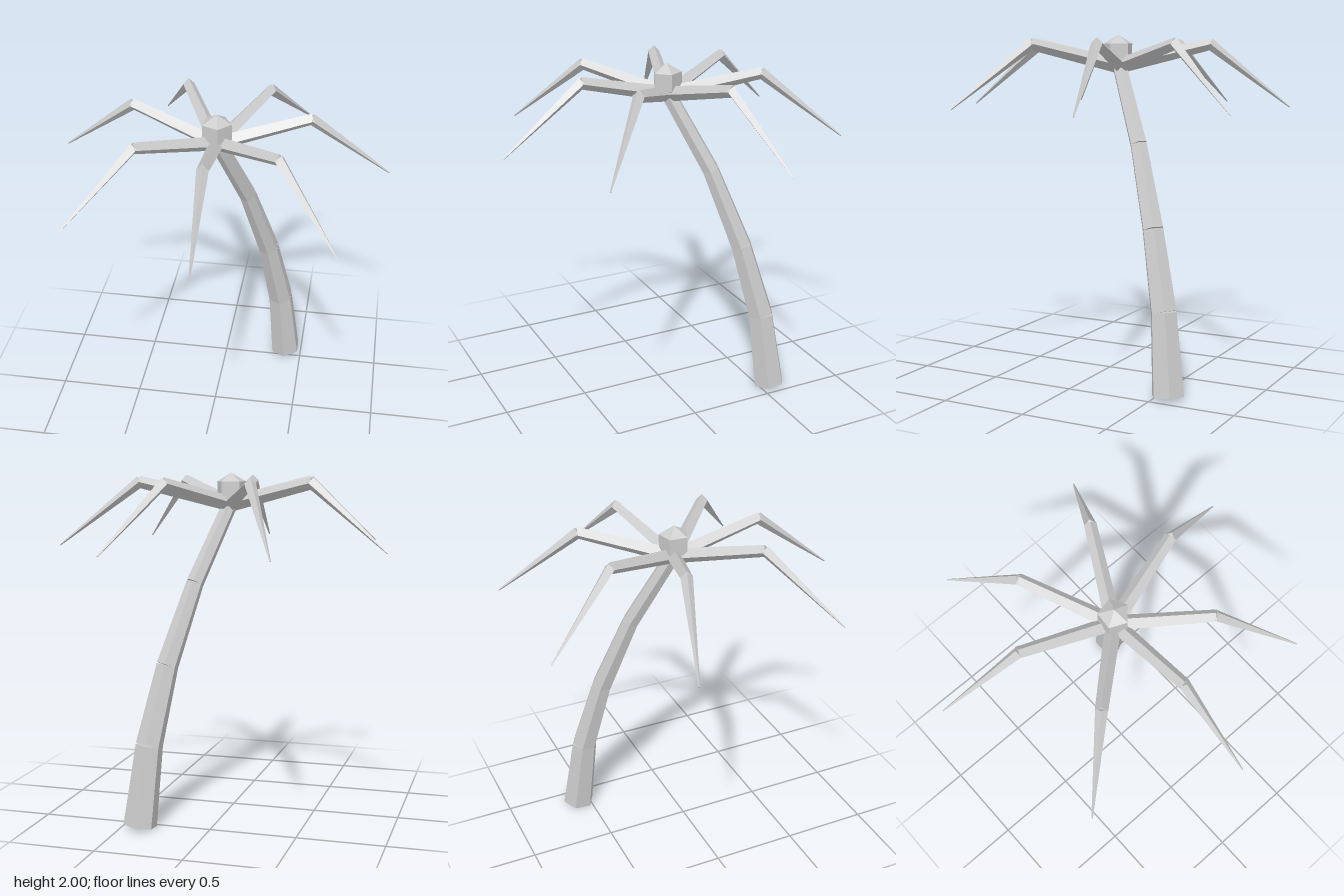
import * as THREE from 'three';

const material = new THREE.MeshStandardMaterial({ color: 0xcccccc, flatShading: true });

// Tapered prism running from point a to point b
function taper(name, a, b, ra, rb, sides) {
  const dir = b.clone().sub(a);
  const mesh = new THREE.Mesh(new THREE.CylinderGeometry(rb, ra, dir.length(), sides), material);
  mesh.position.copy(a).add(b).multiplyScalar(0.5);
  mesh.quaternion.setFromUnitVectors(new THREE.Vector3(0, 1, 0), dir.normalize());
  mesh.name = name;
  return mesh;
}

export function createModel() {
  const palm = new THREE.Group();
  palm.name = 'palmTree';
  const v = (x, y, z) => new THREE.Vector3(x, y, z);

  // Leaning trunk of four hexagonal sections: centre and radius at each joint
  const joints = [
    [v(0.395, 0.013, -0.57), 0.097],
    [v(0.352, 0.475, -0.52), 0.079],
    [v(0.275, 0.92, -0.415), 0.064],
    [v(0.155, 1.38, -0.265), 0.051],
    [v(0.0, 1.83, -0.06), 0.044],
  ];
  const trunk = new THREE.Group();
  trunk.name = 'trunk';
  for (let i = 0; i < joints.length - 1; i++) {
    const [a, ra] = joints[i], [b, rb] = joints[i + 1];
    trunk.add(taper('trunkSection' + (i + 1), a, b, ra, rb, 6));
  }
  palm.add(trunk);

  // Faceted crown bud
  const bud = new THREE.Mesh(new THREE.SphereGeometry(0.1, 5, 3), material);
  bud.name = 'crownBud';
  bud.position.set(0, 1.9, -0.055);
  bud.rotation.y = THREE.MathUtils.degToRad(102);
  palm.add(bud);

  // Seven bent fronds: rising square stem, then a drooping spike
  const fronds = new THREE.Group();
  fronds.name = 'fronds';
  fronds.position.set(0, 0, -0.06);
  for (const angle of [1, 47, 104, 152, 207, 252.5, 312]) {
    const frond = new THREE.Group();
    frond.name = 'frond';
    frond.add(
      taper('frondStem', v(0, 1.82, 0), v(0, 1.947, 0.535), 0.044, 0.034, 4),
      taper('frondTip', v(0, 1.95, 0.525), v(0, 1.581, 1.0), 0.033, 0.004, 4),
    );
    frond.rotation.y = THREE.MathUtils.degToRad(angle);
    fronds.add(frond);
  }
  palm.add(fronds);

  return palm;
}
